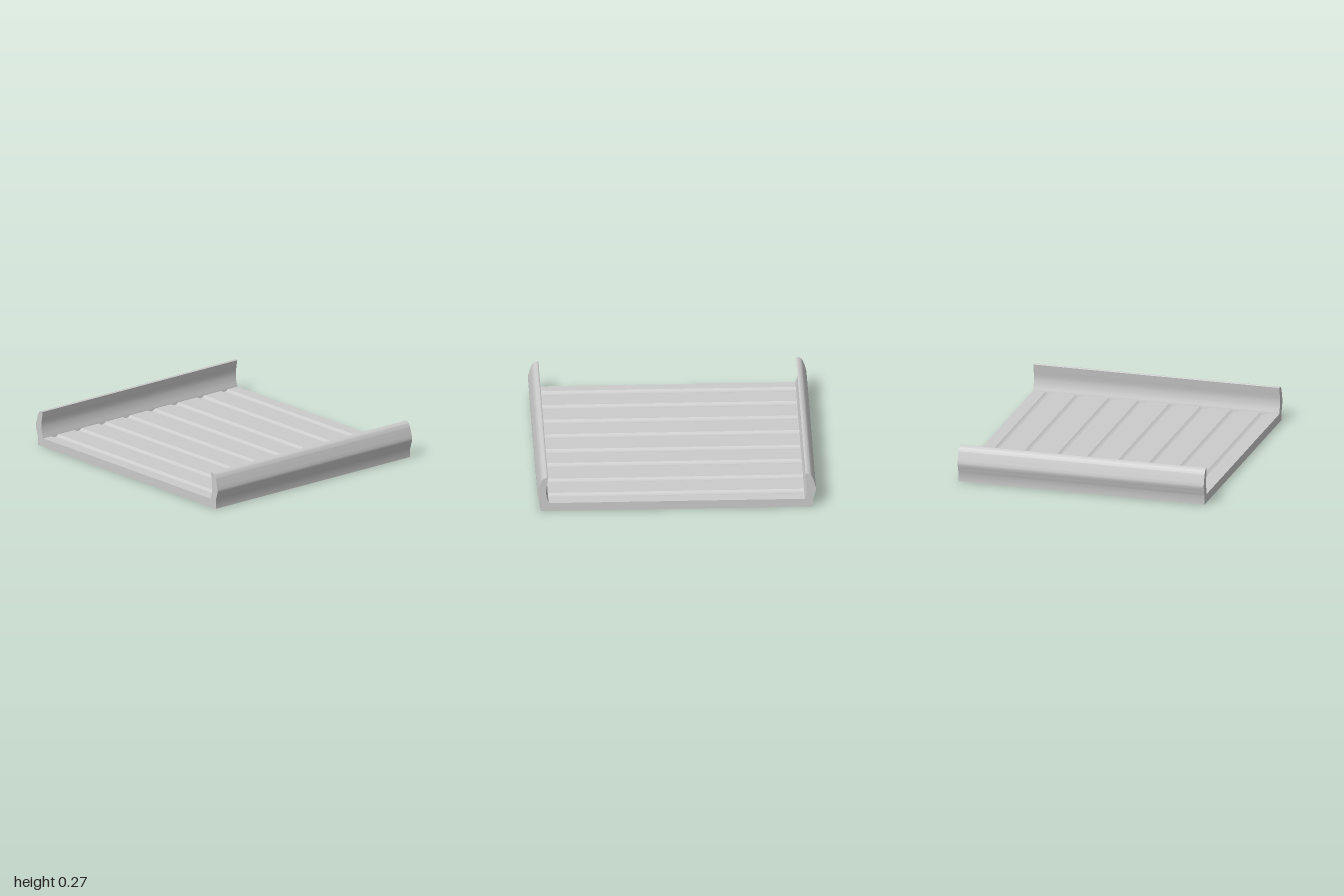
import * as THREE from 'three';
import { toCreasedNormals } from 'three/addons/utils/BufferGeometryUtils.js';

const HALF = 0.92;    // half width of the tray, and half length between the lips
const TOP = 0.063;    // height of the floor
const GROOVE = { half: 0.034, depth: 0.014 };
const GROOVE_CENTRES = [-0.81, -0.59, -0.36, -0.13, 0.105, 0.325, 0.57, 0.795];

function extrude(shape, curveSegments) {
  const geometry = new THREE.ExtrudeGeometry(shape, {
    depth: 2 * HALF, bevelEnabled: false, curveSegments,
  });
  geometry.translate(0, 0, -HALF);
  return toCreasedNormals(geometry, 0.5);
}

// Flat slab with shallow rounded grooves running front to back
function floorShape() {
  const shape = new THREE.Shape();
  shape.moveTo(-HALF, 0);
  shape.lineTo(HALF, 0);
  shape.lineTo(HALF, TOP);
  for (const x of [...GROOVE_CENTRES].reverse()) {
    shape.lineTo(x + GROOVE.half, TOP);
    shape.quadraticCurveTo(x, TOP - 2 * GROOVE.depth, x - GROOVE.half, TOP);
  }
  shape.lineTo(-HALF, TOP);
  shape.closePath();
  return shape;
}

// Curved lip: x is the distance from the middle, y the height
function lipShape() {
  const v = (x, y) => new THREE.Vector2(x, y);
  const shape = new THREE.Shape();
  shape.moveTo(HALF, 0);
  shape.lineTo(0.978, 0);
  shape.lineTo(0.978, 0.063);
  // Bulging outside
  shape.splineThru([v(0.99, 0.1), v(1.0, 0.14), v(0.99, 0.185), v(0.976, 0.23)]);
  // Rounded top, curling inward
  shape.splineThru([v(0.96, 0.254), v(0.936, 0.265), v(0.924, 0.26)]);
  // Hollow inside
  shape.splineThru([v(0.93, 0.222), v(0.939, 0.16), v(0.934, 0.11), v(HALF, TOP)]);
  shape.closePath();
  return shape;
}

export function createModel() {
  const group = new THREE.Group();
  const material = new THREE.MeshStandardMaterial({ color: 0xcccccc });

  const floor = new THREE.Mesh(extrude(floorShape(), 10), material);
  floor.name = 'groovedFloor';
  group.add(floor);

  // One lip at the front, the same turned round at the back
  const lipGeometry = extrude(lipShape(), 5).rotateY(-Math.PI / 2);
  for (const [name, turn] of [['frontLip', 0], ['backLip', Math.PI]]) {
    const lip = new THREE.Mesh(lipGeometry, material);
    lip.name = name;
    lip.rotation.y = turn;
    group.add(lip);
  }
  return group;
}
